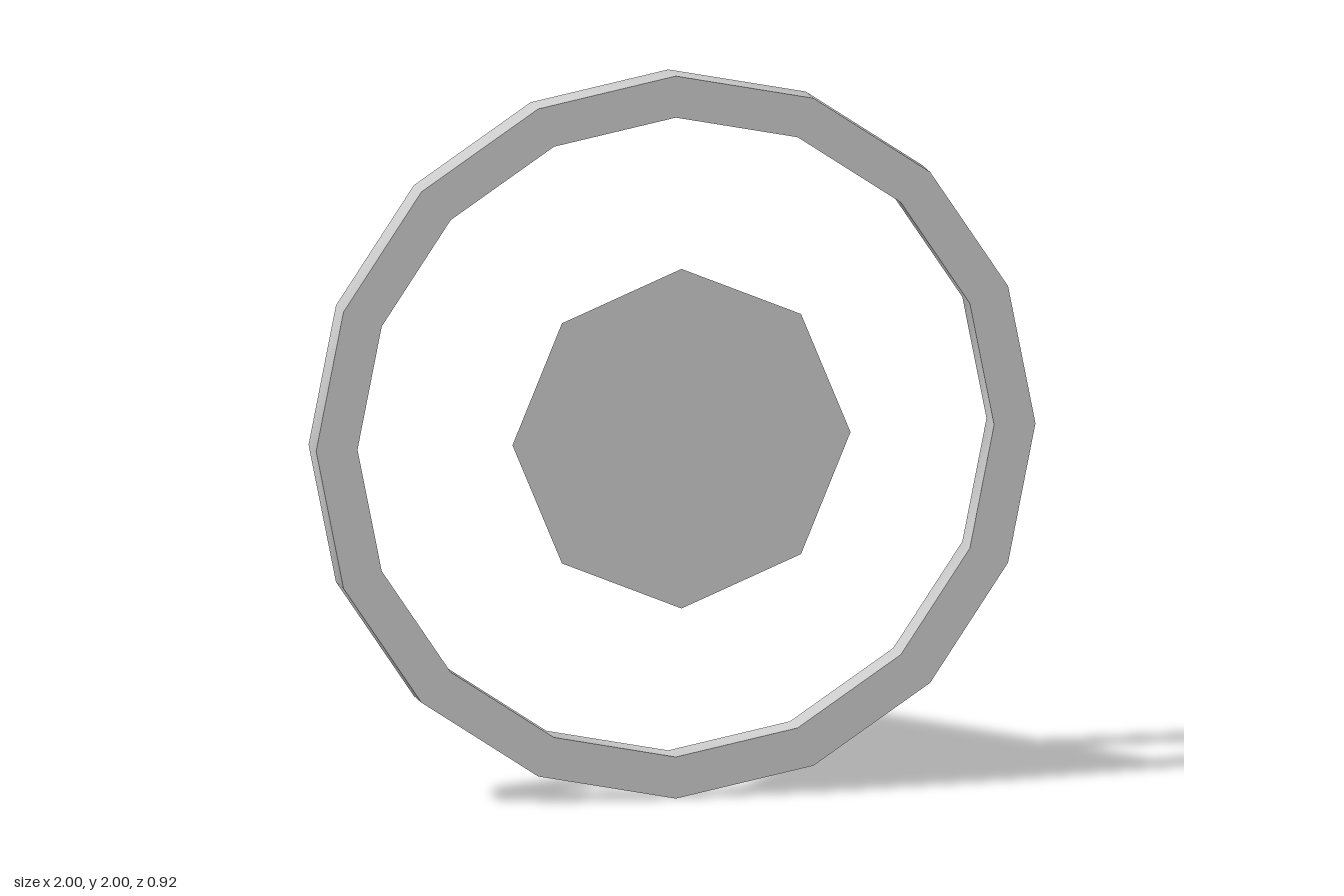
import * as THREE from 'three';
import { toCreasedNormals } from 'three/addons/utils/BufferGeometryUtils.js';

// Corners of a regular polygon with a corner on each axis
function polygon(radius, sides) {
  return Array.from({ length: sides }, (_, i) => {
    const a = (i / sides) * Math.PI * 2;
    return new THREE.Vector2(radius * Math.cos(a), radius * Math.sin(a));
  });
}

export function createModel() {
  const model = new THREE.Group();
  const material = new THREE.MeshStandardMaterial({ color: 0xcccccc });

  function add(name, geometry, y, z) {
    const mesh = new THREE.Mesh(geometry, material);
    mesh.name = name;
    mesh.position.set(0, y, z);
    model.add(mesh);
  }

  // Flat sixteen-sided ring, smooth around its walls with sharp rims
  const ringShape = new THREE.Shape(polygon(1, 16));
  ringShape.holes.push(new THREE.Path(polygon(0.885, 16)));
  const ring = new THREE.ExtrudeGeometry(ringShape, { depth: 0.1, bevelEnabled: false });
  add('ring', toCreasedNormals(ring, 0.6), 1, 0.285);

  // Smooth eight-sided cone, its base to the front and its tip to the back
  const cone = new THREE.ConeGeometry(0.47, 0.92, 8);
  cone.rotateX(-Math.PI / 2);
  add('cone', cone, 1.01, 0);

  return model;
}
